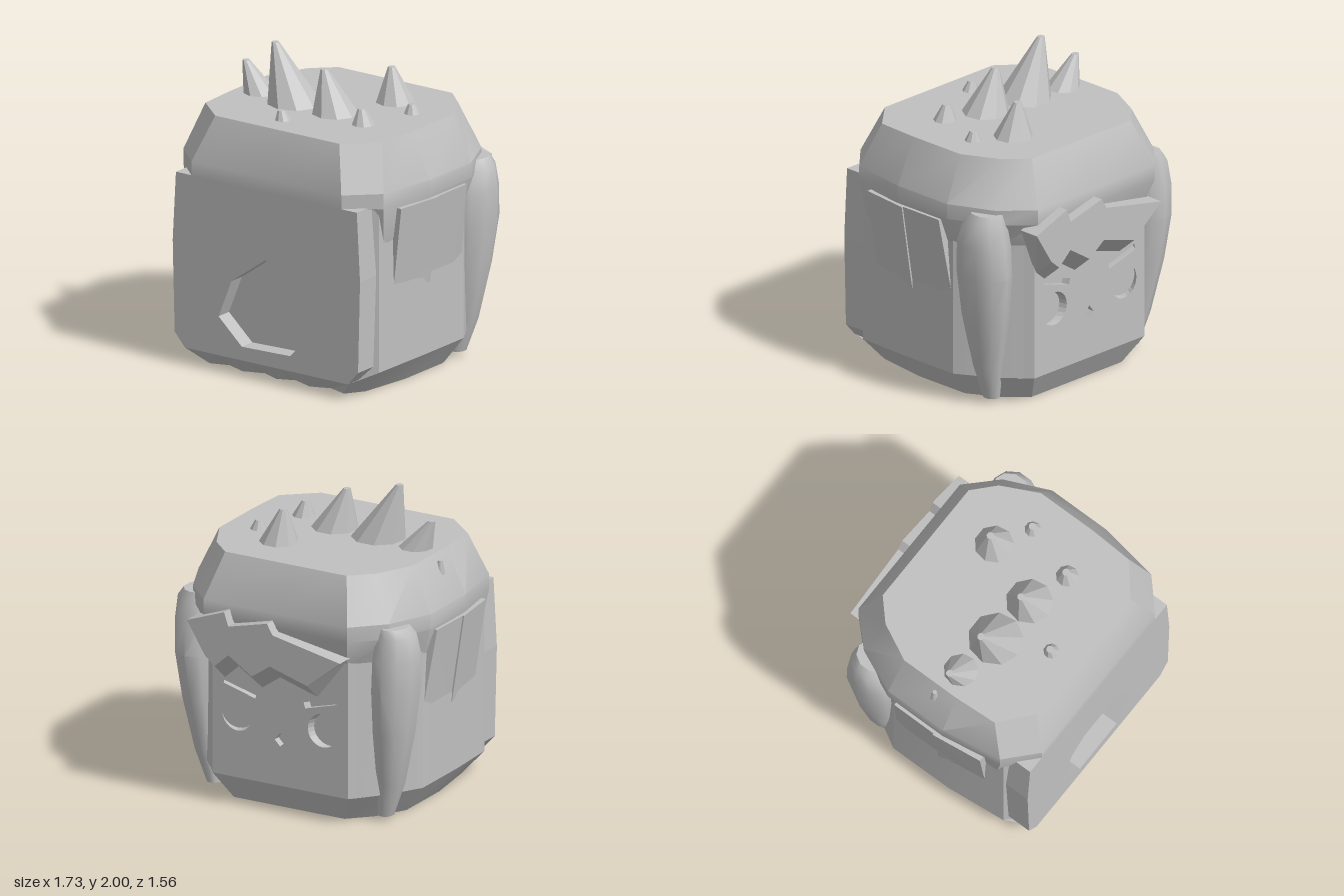
import * as THREE from 'three';
import { toCreasedNormals } from 'three/addons/utils/BufferGeometryUtils.js';

// Surface through rings of [x, y, z] points, rings listed from bottom to top
function loft(rings, capBottom, capTop, crease = 0.5) {
  const n = rings[0].length, pos = rings.flat(2), idx = [];
  for (let i = 0; i < rings.length - 1; i++) {
    for (let j = 0; j < n; j++) {
      const k = (j + 1) % n, a = i * n + j, b = i * n + k;
      idx.push(a, b, b + n, a, b + n, a + n);
    }
  }
  const cap = (r, up) => {
    const c = [0, 1, 2].map(d => rings[r].reduce((s, p) => s + p[d], 0) / n);
    const ci = pos.length / 3;
    pos.push(...c);
    for (let j = 0; j < n; j++) {
      const a = r * n + j, b = r * n + (j + 1) % n;
      if (up) idx.push(ci, a, b); else idx.push(ci, b, a);
    }
  };
  if (capBottom) cap(0, false);
  if (capTop) cap(rings.length - 1, true);
  const g = new THREE.BufferGeometry();
  g.setAttribute('position', new THREE.Float32BufferAttribute(pos, 3));
  g.setIndex(idx);
  return toCreasedNormals(g, crease);
}

// Half plan from front centre to back centre [x, z, optional y], mirrored to a full ring
function ring(y, half) {
  const r = half.map(([x, z, py]) => [x, py ?? y, z]);
  return r.concat(r.slice(1, -1).reverse().map(([x, py, z]) => [-x, py, z]));
}

const shapeOf = pts => new THREE.Shape(pts.map(p => new THREE.Vector2(p[0], p[1])));
const mirrorX = pts => pts.map(([x, y]) => [-x, y]).reverse();

function extrude(pts, holes, depth) {
  const s = shapeOf(pts);
  s.holes = holes.map(h => new THREE.Path(h.map(p => new THREE.Vector2(p[0], p[1]))));
  return new THREE.ExtrudeGeometry(s, { depth, bevelEnabled: false });
}

// Move every vertex by a rule
function warp(g, rule) {
  const p = g.attributes.position, v = new THREE.Vector3();
  for (let i = 0; i < p.count; i++) {
    rule(v.fromBufferAttribute(p, i));
    p.setXYZ(i, v.x, v.y, v.z);
  }
  g.computeVertexNormals();
  return g;
}

export function createModel() {
  const model = new THREE.Group();
  const grey = new THREE.MeshStandardMaterial({ color: 0xc0c0c0, side: THREE.DoubleSide });
  grey.name = 'grey';
  const add = (name, g, parent = model) => {
    const m = new THREE.Mesh(g, grey);
    m.name = name;
    parent.add(m);
    return m;
  };

  // Head body with a bevelled foot; notches part the hair along the front hem
  const foot = ring(0, [[0, 0.68], [0.12, 0.63], [0.26, 0.68], [0.39, 0.63], [0.52, 0.67], [0.6, 0.55],
    [0.65, 0.2], [0.65, -0.2], [0.54, -0.4], [0.4, -0.54], [0, -0.54]]);
  const hem = ring(0.18, [[0, 0.78, 0.11], [0.12, 0.78, 0.11], [0.26, 0.78, 0.11], [0.39, 0.78, 0.11],
    [0.63, 0.78, 0.11], [0.74, 0.6, 0.16], [0.785, 0.2], [0.785, -0.23], [0.66, -0.45], [0.49, -0.65], [0, -0.65]]);
  const inset = hem.map(([x, y, z]) => z > 0.7 ? [x, y, 0.67]
    : z < -0.6 ? [x * 1.08, y, -0.6] : [x, y, z]);
  const top = inset.map(([x, , z]) => [x, 1.25, z]);
  add('headBody', loft([foot, hem, inset, top], false, false, 0.4));

  // Underside with a square neck socket
  const base = shapeOf(foot.map(([x, , z]) => [x, z]));
  const q = 0.18;
  base.holes.push(new THREE.Path([[-q, -q], [-q, q], [q, q], [q, -q]].map(p => new THREE.Vector2(...p))));
  add('underside', new THREE.ShapeGeometry(base).rotateX(Math.PI / 2));
  const socket = new THREE.CylinderGeometry(q * Math.SQRT2, q * Math.SQRT2, 0.4, 4, 1, true)
    .toNonIndexed().rotateY(Math.PI / 4).translate(0, 0.2, 0);
  socket.computeVertexNormals();
  add('neckSocket', socket);
  add('neckSocketEnd', new THREE.PlaneGeometry(2 * q, 2 * q).rotateX(Math.PI / 2).translate(0, 0.4, 0));

  // Flat hair slab with a seven-sided recess
  const slabEdge = [[0.63, 0.11], [0.71, 0.2], [0.725, 0.8], [0.7, 1.25]];
  const recess = [[-0.01, 0.8], [-0.27, 0.615], [-0.37, 0.365], [-0.19, 0.2],
    [0.185, 0.21], [0.345, 0.39], [0.225, 0.685]];
  add('hairSlab', extrude([...slabEdge, ...mirrorX(slabEdge)], [recess], 0.21).translate(0, 0, 0.57));

  // Face plate with sunken eyes, brows and nose
  const eye = [], eyeSides = 24;
  for (let i = 0; i < eyeSides; i++) {
    const t = i / eyeSides * Math.PI * 2;
    eye.push([0.31 + 0.11 * Math.cos(t), 0.6 + 0.11 * Math.sin(t)]);
  }
  const brow = [[0.41, 0.79], [0.4, 0.83], [0.17, 0.765], [0.18, 0.725]];
  const nose = [[0, 0.53], [-0.04, 0.48], [0, 0.44], [0.04, 0.48]];
  const face = extrude([[-0.49, 0.18], [0.49, 0.18], [0.49, 1.3], [-0.49, 1.3]],
    [eye, mirrorX(eye), brow, mirrorX(brow), nose], 0.05).translate(0, 0, -0.65);
  add('face', warp(face, v => { if (v.z > -0.62) v.x *= 1.08; }));

  // Hair cap
  const brim = [[0, 0.78], [0.58, 0.78], [0.775, 0.6], [0.84, 0.2], [0.84, -0.23], [0.71, -0.52], [0.52, -0.71], [0, -0.71]];
  const crown = [[0, 0.665], [0.48, 0.665], [0.685, 0.49], [0.7, 0.2], [0.7, -0.21], [0.58, -0.45], [0.44, -0.58], [0, -0.58]];
  const tuck = [[0, 0.66, 1.24], [0.56, 0.66, 1.2], [0.74, 0.55, 0.97], [0.78, 0.2], [0.78, -0.22], [0.65, -0.45], [0.48, -0.64], [0, -0.64]];
  add('hairCap', loft([ring(1.05, tuck), ring(1.24, brim), ring(1.34, brim), ring(1.63, crown)], false, true, 0.45));

  // Leaning hair spikes: base x, base z, radius, tip x, tip z, tip height
  const spikes = [
    [-0.53, 0.11, 0.115, -0.65, 0.11, 1.82],
    [-0.235, 0.155, 0.18, -0.39, 0.155, 2.0],
    [0.09, 0.17, 0.155, 0, 0.17, 1.9],
    [0.255, -0.235, 0.13, 0.22, -0.24, 1.85],
    [0.365, 0.255, 0.078, 0.35, 0.255, 1.73],
    [0.48, -0.105, 0.058, 0.475, -0.105, 1.69],
    [-0.09, 0.48, 0.055, -0.105, 0.48, 1.69],
  ];
  for (const [bx, bz, r, tx, tz, ty] of spikes) {
    const h = ty - 1.62;
    const g = new THREE.CylinderGeometry(0.024, r, h, 9).toNonIndexed().translate(0, h / 2, 0);
    add('hairSpike', warp(g, v => {
      const t = v.y / h;
      v.set(v.x + bx + (tx - bx) * t, v.y + 1.62, v.z + bz + (tz - bz) * t);
    }));
  }
  add('hairStub', new THREE.CylinderGeometry(0.015, 0.03, 0.09, 6).translate(-0.74, 1.545, 0.06));

  // Side hair, mirrored: a rounded lock and two thin hanging strands
  const lockRows = [ // y, centre x, centre z, half width x, half width z
    [0.03, 0.62, -0.4, 0.05, 0.06], [0.25, 0.66, -0.41, 0.09, 0.1], [0.6, 0.69, -0.42, 0.13, 0.165],
    [0.9, 0.71, -0.43, 0.15, 0.195], [1.1, 0.715, -0.43, 0.15, 0.185],
    [1.25, 0.715, -0.44, 0.13, 0.145], [1.31, 0.7, -0.445, 0.1, 0.12]];
  const lock = loft(lockRows.map(([y, cx, cz, rx, rz]) => Array.from({ length: 10 }, (_, i) => {
    const t = i / 10 * Math.PI * 2;
    return [cx + rx * Math.sin(t), y, cz + rz * Math.cos(t)];
  })), true, true, 0.8);
  const strands = [
    [[0.48, 1.22], [0.14, 1.22], [0.13, 0.8], [0.12, 0.55], [0.2, 0.42], [0.38, 0.41], [0.46, 0.57]],
    [[0.14, 1.22], [-0.17, 1.22], [-0.21, 0.75], [-0.1, 0.5], [0.05, 0.45], [0.12, 0.55]],
  ].map((pts, i) => {
    // Drawn in the z-y plane, turned to face sideways, then leaned in toward the tips
    const g = extrude(pts.map(([z, y]) => [-z, y]), [], 0.1).rotateY(Math.PI / 2);
    return warp(g, v => { v.x += 0.77 - 0.01 * i - 0.14 * (1.22 - v.y) - 0.2 * v.z * v.z; });
  });
  for (const side of [1, -1]) {
    const hair = new THREE.Group();
    hair.name = side > 0 ? 'leftSideHair' : 'rightSideHair';
    add('sideLock', lock, hair);
    strands.forEach(g => add('sideStrand', g, hair));
    hair.scale.x = side;
    model.add(hair);
  }

  // Jagged fringe over the face, its points sloping down toward the skin
  const fringe = extrude([[0.6, 1.21], [0.33, 1.31], [0.3, 1.22], [0.02, 1.29], [-0.02, 1.22], [-0.51, 1.12],
    [-0.27, 0.93], [0, 1.01], [0.13, 0.92], [0.3, 1.03], [0.4, 0.94], [0.47, 1.0]], [], 0.14).translate(0, 0, -0.78);
  add('fringe', warp(fringe, v => { if (v.z > -0.7 && v.y < 1.05) v.y -= 0.12; }));

  return model;
}
